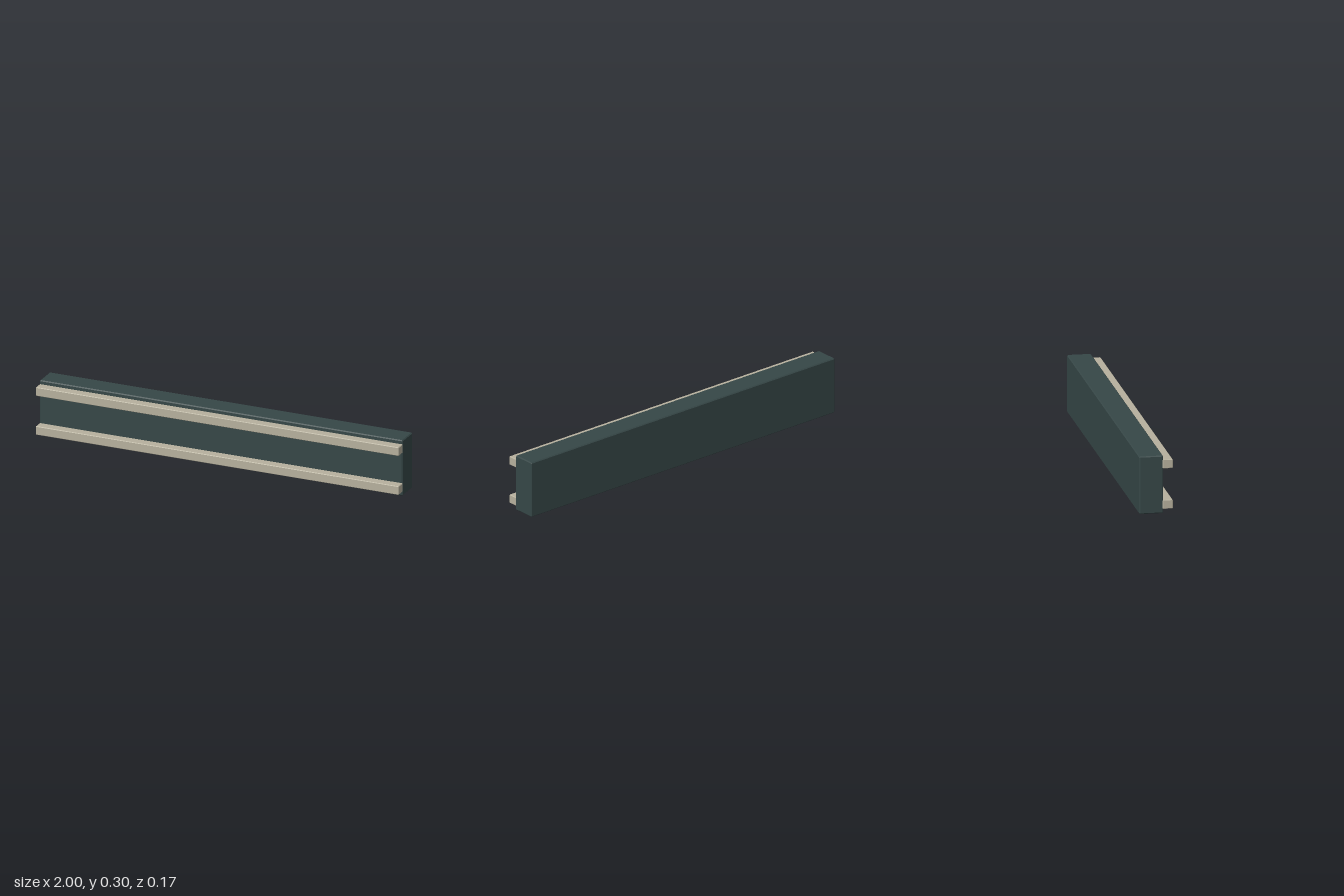
import * as THREE from 'three';
import { ConvexGeometry } from 'three/addons/geometries/ConvexGeometry.js';

// Box with every edge cut by a flat chamfer c
function chamferBox(w, h, d, c) {
  const points = [];
  for (const x of [-w / 2, w / 2])
    for (const y of [-h / 2, h / 2])
      for (const z of [-d / 2, d / 2])
        for (let axis = 0; axis < 3; axis++) {
          const p = [x, y, z].map((v, i) => (i === axis ? v : v - Math.sign(v) * c));
          points.push(new THREE.Vector3(...p));
        }
  return new ConvexGeometry(points);
}

export function createModel() {
  const group = new THREE.Group();
  const darkGreen = new THREE.MeshStandardMaterial({ color: 0x364747 });
  darkGreen.name = 'dark slate green';
  const beige = new THREE.MeshStandardMaterial({ color: 0xb7b19e });
  beige.name = 'warm beige';

  // Long upright beam
  const beam = new THREE.Mesh(chamferBox(2, 0.3, 0.123, 0.005), darkGreen);
  beam.name = 'beam';
  beam.position.set(0, 0.15, -0.0243);
  group.add(beam);

  // Two parallel rails along the front face
  for (const [name, y] of [['lowerRail', 0.0455], ['upperRail', 0.256]]) {
    const rail = new THREE.Mesh(chamferBox(2, 0.047, 0.052, 0.003), beige);
    rail.name = name;
    rail.position.set(0, y, 0.0598);
    group.add(rail);
  }
  return group;
}
